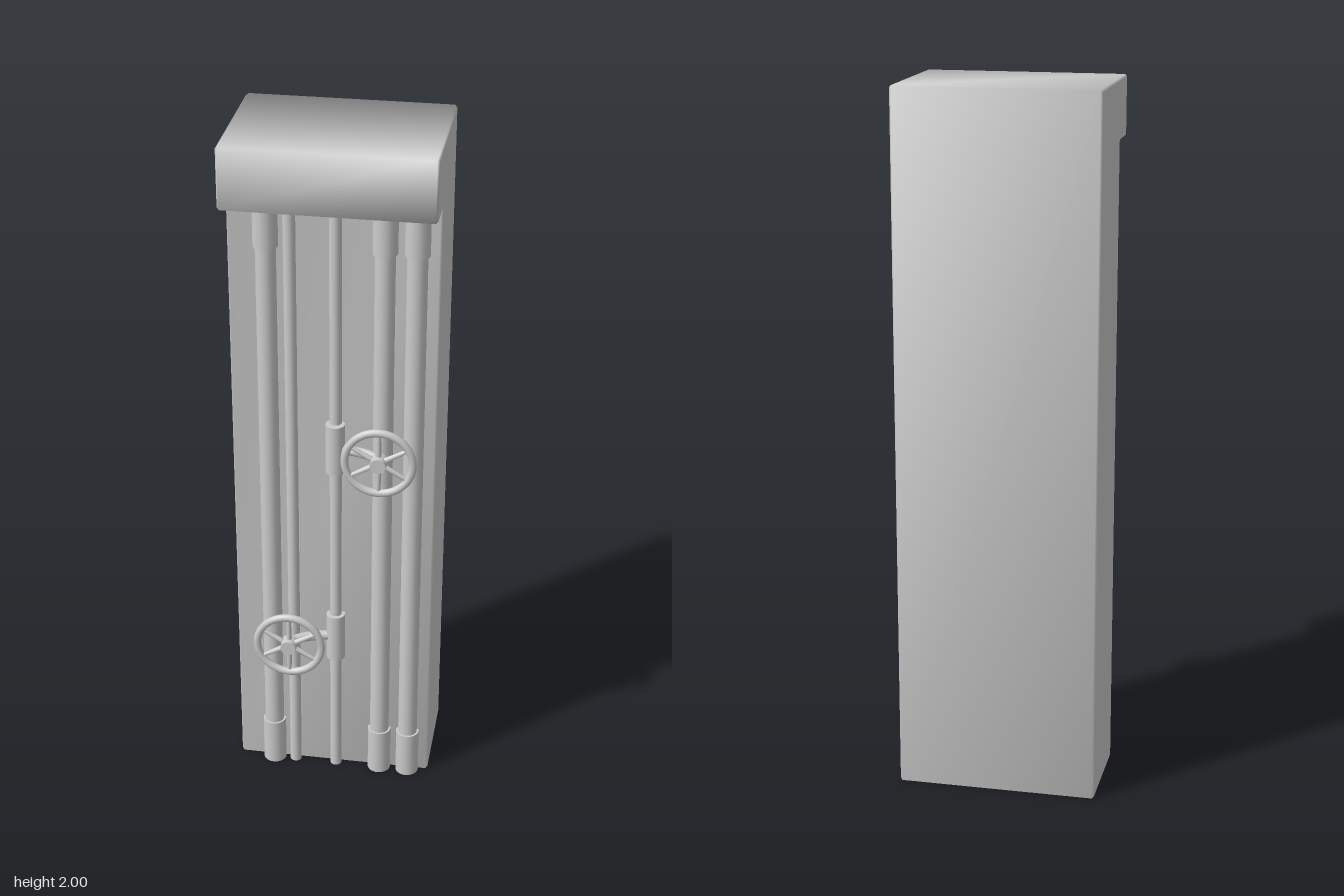
import * as THREE from 'three';
import { mergeVertices } from 'three/addons/utils/BufferGeometryUtils.js';

const material = new THREE.MeshStandardMaterial({ color: 0xcccccc });

function add(parent, name, geometry, x = 0, y = 0, z = 0) {
  const mesh = new THREE.Mesh(geometry, material);
  mesh.name = name;
  mesh.position.set(x, y, z);
  parent.add(mesh);
  return mesh;
}

// L-shaped pillar: side profile (z, y) extruded across x with a small soft bevel
function pillarGeometry() {
  const bevel = 0.006, width = 0.57;
  const profile = new THREE.Shape([
    [-0.2, 0], [0.09, 0], [0.09, 1.83], [0.2, 1.83], [0.2, 2], [-0.2, 2],
  ].map(([z, y]) => new THREE.Vector2(z, y)));
  const extruded = new THREE.ExtrudeGeometry(profile, {
    depth: width - 2 * bevel, bevelEnabled: true, bevelSize: bevel,
    bevelThickness: bevel, bevelOffset: -bevel, bevelSegments: 1,
  });
  extruded.translate(0, 0, -(width / 2 - bevel)).rotateY(-Math.PI / 2);
  extruded.deleteAttribute('uv');
  extruded.deleteAttribute('normal');
  const geometry = mergeVertices(extruded, 1e-4);
  geometry.computeVertexNormals();
  return geometry;
}

// Vertical cylinder between two heights
function upright(parent, name, x, z, radius, bottom, top) {
  const height = top - bottom;
  add(parent, name, new THREE.CylinderGeometry(radius, radius, height, 20), x, bottom + height / 2, z);
}

// Hand wheel: rim, six spokes and a hub facing +z
function handWheel(name) {
  const wheel = new THREE.Group();
  wheel.name = name;
  add(wheel, 'rim', new THREE.TorusGeometry(0.094, 0.011, 10, 40));
  for (let i = 0; i < 6; i++) {
    const spoke = new THREE.CylinderGeometry(0.006, 0.009, 0.09, 8);
    spoke.translate(0, 0.045, 0).rotateZ(i * Math.PI / 3);
    add(wheel, 'spoke', spoke);
  }
  const hub = new THREE.CylinderGeometry(0.022, 0.025, 0.034, 20);
  add(wheel, 'hub', hub.rotateX(Math.PI / 2), 0, 0, 0.003);
  return wheel;
}

// Valve: sleeve on the centre pipe, a bent stem and a hand wheel
function valve(name, wheelX, y, sleeveZ) {
  const group = new THREE.Group();
  group.name = name;
  upright(group, 'valveSleeve', 0.007, sleeveZ, 0.027, y - 0.075, y + 0.075);
  const path = new THREE.QuadraticBezierCurve3(
    new THREE.Vector3(0.007, y, sleeveZ),
    new THREE.Vector3(wheelX, y, 0.125),
    new THREE.Vector3(wheelX, y, 0.175));
  add(group, 'valveStem', new THREE.TubeGeometry(path, 14, 0.014, 12));
  const wheel = handWheel('handWheel');
  wheel.position.set(wheelX, y, 0.174);
  group.add(wheel);
  return group;
}

export function createModel() {
  const model = new THREE.Group();
  model.name = 'pipedPillar';
  add(model, 'pillar', pillarGeometry());

  // Thick pipes with collars at both ends
  for (const x of [-0.18, 0.138, 0.223]) {
    upright(model, 'thickPipe', x, 0.098, 0.028, 0, 1.84);
    upright(model, 'lowerCollar', x, 0.098, 0.034, 0, 0.145);
    upright(model, 'upperCollar', x, 0.098, 0.034, 1.695, 1.84);
  }
  // Thin pipes
  for (const x of [-0.116, 0.007]) upright(model, 'thinPipe', x, 0.1, 0.017, 0, 1.84);

  model.add(valve('upperValve', 0.137, 1.105, 0.109));
  model.add(valve('lowerValve', -0.118, 0.472, 0.102));
  return model;
}
